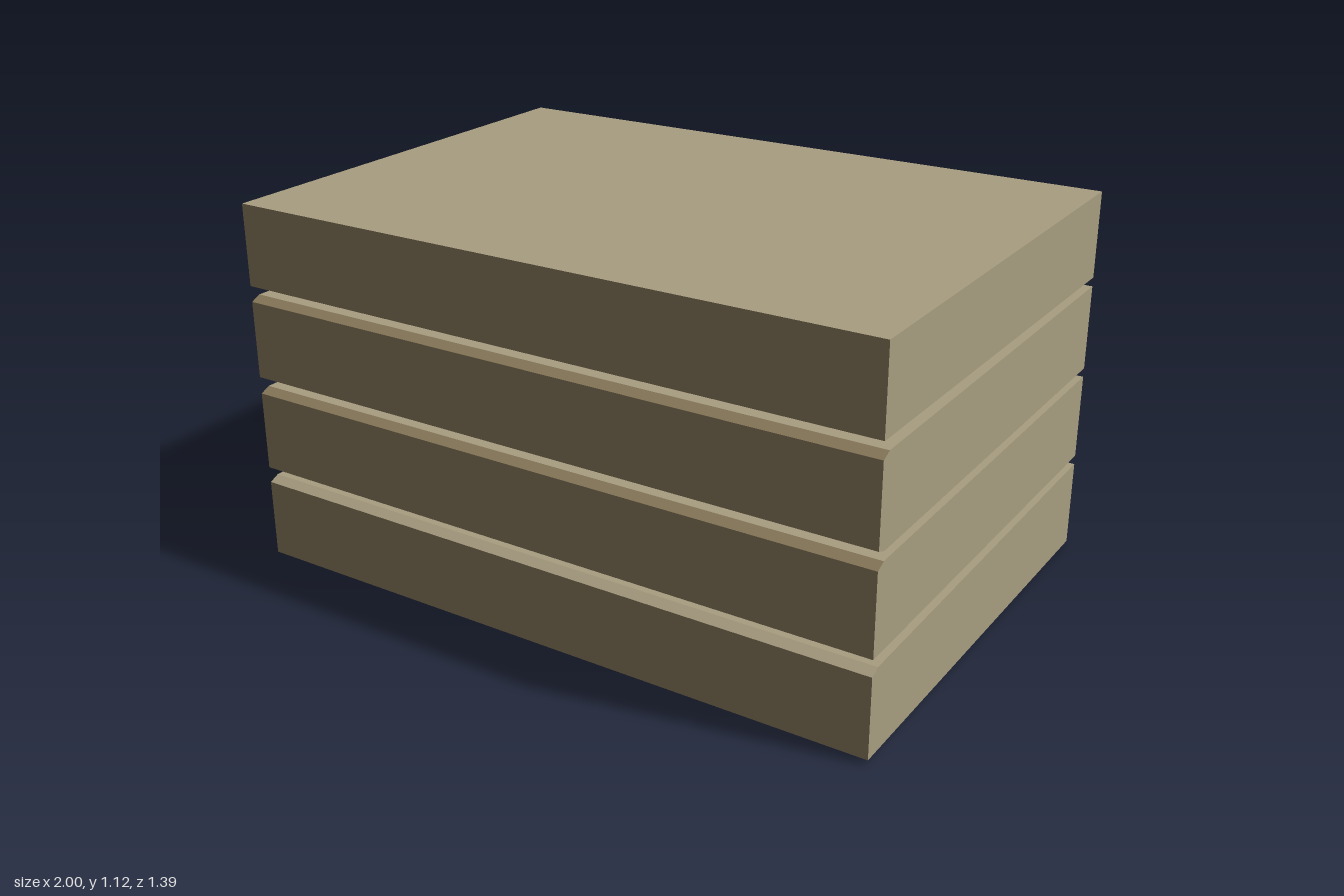
import * as THREE from 'three';

const tan = new THREE.MeshStandardMaterial({ color: 0xa89d80 });
tan.name = 'tan';
const brown = new THREE.MeshStandardMaterial({ color: 0x8a7a5c });
brown.name = 'brown';

// Side profiles as [z, y], counter-clockwise; walls facing forward beyond "limit" are brown
const B = -0.695, F = 0.695, C = 0.665;
const slabs = [
  { name: 'bottomSlab', limit: 0.7, profile: [[B, 0], [F, 0.014], [F, 0.25], [C, 0.264], [B, 0.264]] },
  { name: 'lowerSlab', limit: 0.3, profile: [[B, 0.292], [F, 0.299], [F, 0.538], [C, 0.552], [B, 0.552]] },
  { name: 'upperSlab', limit: 0.3, profile: [[B, 0.579], [C, 0.579], [F, 0.59], [F, 0.823], [C, 0.837], [B, 0.837]] },
  { name: 'topSlab', limit: 0.3, profile: [[B, 0.864], [F, 0.871], [F, 1.115], [B, 1.123]] },
];

function makeSlab({ name, limit, profile }) {
  const shape = new THREE.Shape(profile.map(([z, y]) => new THREE.Vector2(z, y)));
  const geometry = new THREE.ExtrudeGeometry(shape, { depth: 2, bevelEnabled: false });
  geometry.rotateY(-Math.PI / 2).translate(1, 0, 0);

  // Front face and its chamfers take the brown material
  geometry.clearGroups();
  const normal = geometry.attributes.normal;
  for (let i = 0; i < normal.count; i += 3) {
    geometry.addGroup(i, 3, normal.getZ(i) > limit ? 1 : 0);
  }
  const mesh = new THREE.Mesh(geometry, [tan, brown]);
  mesh.name = name;
  return mesh;
}

export function createModel() {
  const group = new THREE.Group();
  group.name = 'slabStack';
  for (const slab of slabs) group.add(makeSlab(slab));
  return group;
}
